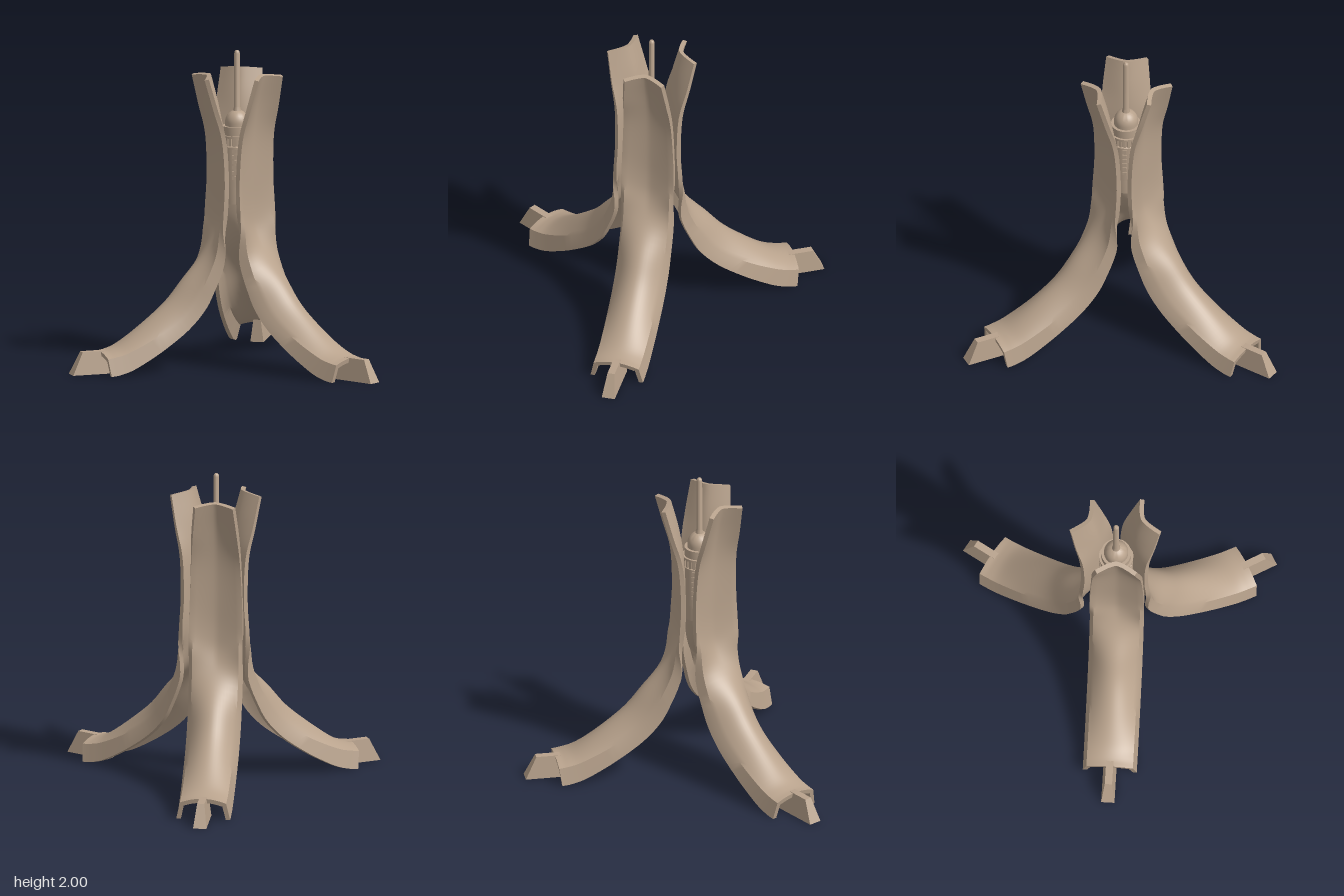
import * as THREE from 'three';
import { toCreasedNormals } from 'three/addons/utils/BufferGeometryUtils.js';

const material = new THREE.MeshStandardMaterial({ color: 0xb8a28c, side: THREE.DoubleSide });
const AXIS_X = 0.245;

// Leg stations: radius, height, shoulder offset, edge offset, half width
const STATIONS = [
  [0.21, 1.857, 0.047, 0.057, 0.118],
  [0.16, 1.66, 0.045, 0.055, 0.138],
  [0.13, 1.46, 0.028, 0.033, 0.153],
  [0.12, 1.2, 0.026, 0.028, 0.165],
  [0.12, 1.0, 0.035, 0.037, 0.17],
  [0.142, 0.86, 0.038, 0.02, 0.17],
  [0.22, 0.72, -0.02, -0.085, 0.17],
  [0.36, 0.57, -0.09, -0.165, 0.17],
  [0.48, 0.43, -0.105, -0.18, 0.17],
  [0.64, 0.295, -0.08, -0.17, 0.17],
  [0.79, 0.185, -0.045, -0.15, 0.17],
  [0.87, 0.148, -0.03, -0.142, 0.17],
  [0.925, 0.14, -0.03, -0.14, 0.17],
];

function part(name, geometry, parent) {
  const mesh = new THREE.Mesh(geometry, material);
  mesh.name = name;
  parent.add(mesh);
  return mesh;
}

// Curved shell: a valley at the top that turns into an arched ridge at the foot
function legGeometry() {
  const spine = new THREE.CatmullRomCurve3(
    STATIONS.map(s => new THREE.Vector3(s[0], s[1], 0)), false, 'catmullrom', 0.5);
  const shape = new THREE.CatmullRomCurve3(
    STATIONS.map(s => new THREE.Vector3(s[2], s[3], s[4])), false, 'catmullrom', 0.5);
  const rows = 60, across = 16, thick = 0.028;
  const pos = [], index = [];
  const count = across + 3, loop = count * 2;

  for (let j = 0; j <= rows; j++) {
    const v = j / rows;
    const c = spine.getPoint(v), tan = spine.getTangent(v);
    const { x: shoulder, y: edge, z: half } = shape.getPoint(v);
    const inner = half * 0.86;
    const power = shoulder > 0 ? 1.4 : 2;
    // outer line of the section, edge to edge
    const outer = [[-half, edge]];
    for (let i = 0; i <= across; i++) {
      const u = (i / across) * 2 - 1;
      outer.push([u * inner, shoulder * Math.abs(u) ** power]);
    }
    outer.push([half, edge]);
    // the same line moved inwards by the wall thickness
    const back = outer.map((p, k) => {
      const a = outer[Math.max(k - 1, 0)], b = outer[Math.min(k + 1, count - 1)];
      const dt = b[0] - a[0], d = b[1] - a[1], len = Math.hypot(dt, d);
      return [p[0] + (d / len) * thick, p[1] - (dt / len) * thick];
    });
    for (const [t, off] of [...outer, ...back.reverse()]) {
      pos.push(c.x - tan.y * off, Math.max(0, c.y + tan.x * off), t);
    }
  }
  for (let j = 0; j < rows; j++) {
    for (let i = 0; i < loop; i++) {
      const a = j * loop + i, b = j * loop + ((i + 1) % loop);
      index.push(a, b, a + loop, b, b + loop, a + loop);
    }
  }
  // end caps
  const last = rows * loop;
  for (let i = 0; i < count - 1; i++) {
    const o = i, o2 = i + 1, n = loop - 1 - i, n2 = loop - 2 - i;
    index.push(o, n, o2, o2, n, n2);
    index.push(last + o, last + o2, last + n, last + o2, last + n2, last + n);
  }
  const g = new THREE.BufferGeometry();
  g.setAttribute('position', new THREE.Float32BufferAttribute(pos, 3));
  g.setIndex(index);
  return toCreasedNormals(g, 0.5);
}

// Wedge-shaped foot tab, narrower at the top and sloped at its outer end
function tabGeometry() {
  const g = new THREE.BoxGeometry(1, 1, 1).toNonIndexed();
  const p = g.attributes.position;
  for (let i = 0; i < p.count; i++) {
    const top = p.getY(i) > 0, out = p.getX(i) > 0;
    p.setXYZ(i, out ? (top ? 1.045 : 1.115) : 0.81, top ? 0.143 : 0, p.getZ(i) * (top ? 0.046 : 0.084));
  }
  g.computeVertexNormals();
  return g;
}

function lathe(points) {
  const g = new THREE.LatheGeometry(points.map(p => new THREE.Vector2(p[0], p[1])), 40);
  return toCreasedNormals(g, 0.5);
}

export function createModel() {
  const model = new THREE.Group();
  model.name = 'tripodStand';
  const center = new THREE.Group();
  center.name = 'standAssembly';
  center.position.x = AXIS_X;
  model.add(center);

  // three identical legs
  const legGeo = legGeometry(), tabGeo = tabGeometry();
  for (let i = 0; i < 3; i++) {
    const leg = new THREE.Group();
    leg.name = 'leg';
    leg.rotation.y = Math.PI + (i * Math.PI * 2) / 3;
    for (const m of [part('legShell', legGeo, leg), part('footTab', tabGeo, leg)]) m.position.z = -0.013;
    center.add(leg);
  }

  // central body with stepped lower end and collar
  part('centralBody', lathe([
    [0, 1.03], [0.092, 1.03], [0.092, 1.14], [0.105, 1.14], [0.105, 1.395], [0.095, 1.4],
    [0.095, 1.45], [0.108, 1.45], [0.108, 1.465], [0.094, 1.465], [0.094, 1.52], [0.07, 1.52],
  ]), center);

  // rounded cap
  const dome = [];
  for (let i = 0; i <= 10; i++) {
    const a = (i / 10) * Math.PI / 2;
    dome.push([0.076 * Math.cos(a), 1.54 + 0.08 * Math.sin(a)]);
  }
  part('domeCap', lathe([[0.076, 1.51], ...dome]), center);

  // rod with a rounded tip
  part('topRod', lathe([
    [0.03, 1.6], [0.019, 1.64], [0.018, 1.98], [0.015, 1.991], [0.009, 1.998], [0, 2],
  ]), center);

  // small vents between the legs
  const vent = new THREE.BoxGeometry(0.012, 0.022, 0.028);
  for (let k = 0; k < 3; k++) {
    const column = new THREE.Group();
    column.name = 'ventColumn';
    column.rotation.y = (k * Math.PI * 2) / 3;
    for (let i = 0; i < 6; i++) part('vent', vent, column).position.set(0.104, 1.2 + i * 0.034, 0);
    center.add(column);
  }

  // ribs round the neck
  const rib = new THREE.BoxGeometry(0.014, 0.05, 0.014);
  for (let i = 0; i < 24; i++) {
    const a = (i / 24) * Math.PI * 2;
    const m = part('neckRib', rib, center);
    m.position.set(Math.cos(a) * 0.097, 1.425, Math.sin(a) * 0.097);
    m.rotation.y = -a;
  }
  return model;
}
